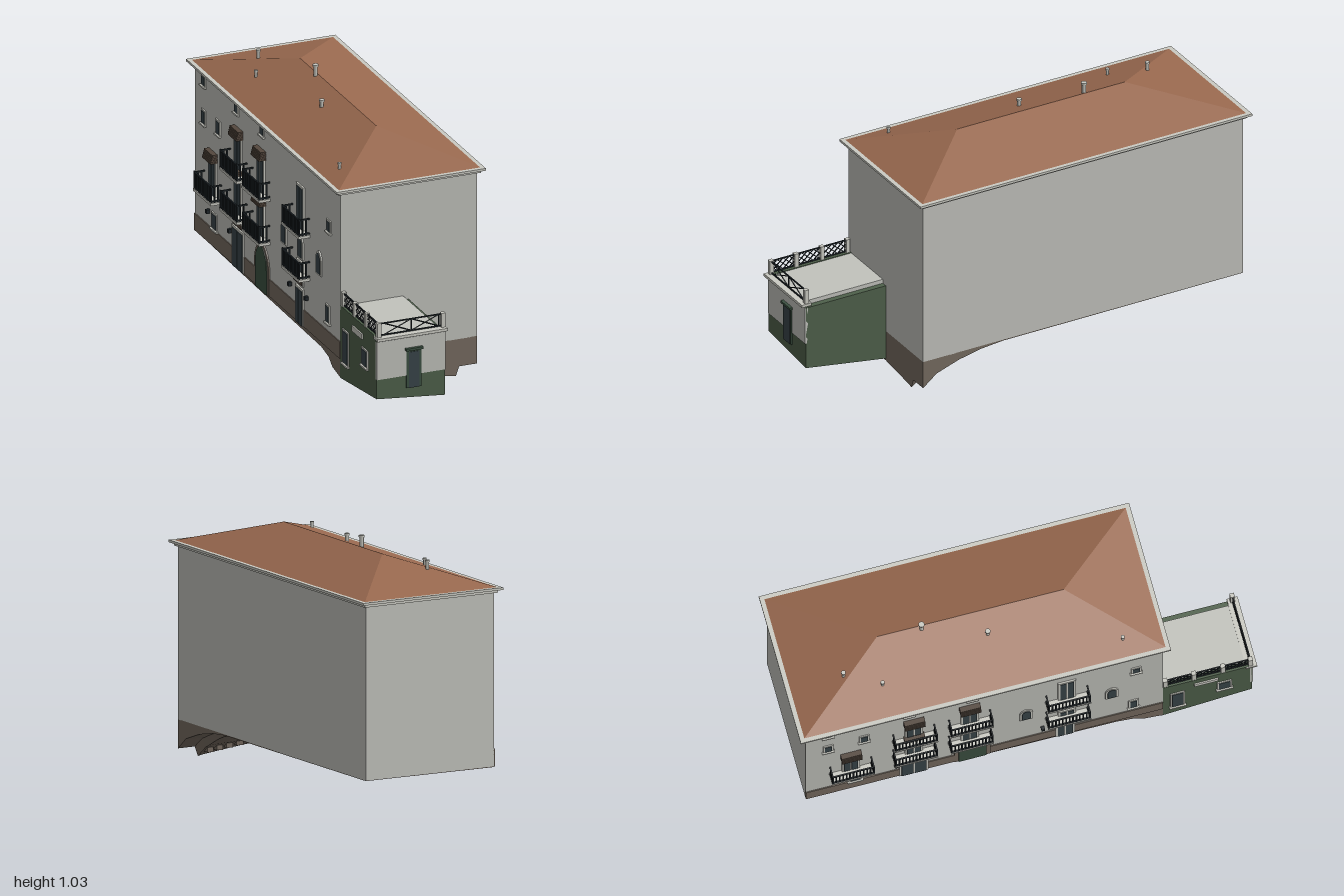
import * as THREE from 'three';

const mat = (name, color, side = THREE.FrontSide) => {
  const m = new THREE.MeshStandardMaterial({ color, side });
  m.name = name;
  return m;
};
const M = {
  wall: mat('pale plaster', 0xc2c3bd),
  roof: mat('terracotta', 0x99694f),
  base: mat('brown plinth', 0x776c61),
  green: mat('green plaster', 0x4f614b),
  trim: mat('stone trim', 0xcbcbc3),
  iron: mat('dark iron', 0x1f262a),
  glass: mat('dark glass', 0x39454a),
  blind: mat('brown blind', 0x54473d),
  door: mat('green door', 0x3c5142),
};

// Half width and half length of the house in its own turned frame
const W = 0.2975, L = 0.74;

export function createModel() {
  const model = new THREE.Group();
  const house = new THREE.Group();
  house.name = 'house';
  house.rotation.y = 0.272;
  house.position.z = -0.172;
  model.add(house);

  const add = (name, geo, m, parent = house) => {
    const mesh = new THREE.Mesh(geo, m);
    mesh.name = name;
    parent.add(mesh);
    return mesh;
  };
  // Box given by its lower and upper limits
  const box = (name, m, x0, x1, y0, y1, z0, z1, parent) => {
    const b = add(name, new THREE.BoxGeometry(x1 - x0, y1 - y0, z1 - z0), m, parent);
    b.position.set((x0 + x1) / 2, (y0 + y1) / 2, (z0 + z1) / 2);
    return b;
  };
  // Thin square bar between two points
  const bar = (a, b, t, m, parent) => {
    const p = new THREE.Vector3(...a), q = new THREE.Vector3(...b);
    const mesh = add('bar', new THREE.BoxGeometry(t, t, p.distanceTo(q)), m, parent);
    mesh.position.copy(p).add(q).multiplyScalar(0.5);
    mesh.quaternion.setFromUnitVectors(new THREE.Vector3(0, 0, 1), q.sub(p).normalize());
  };
  // Flat-faced geometry from polygons
  const faces = (polys) => {
    const v = [];
    for (const p of polys) for (let i = 1; i < p.length - 1; i++) v.push(...p[0], ...p[i], ...p[i + 1]);
    const g = new THREE.BufferGeometry();
    g.setAttribute('position', new THREE.Float32BufferAttribute(v, 3));
    g.computeVertexNormals();
    return g;
  };

  // Main walls and cornice
  box('walls', M.wall, -W, W, 0.158, 0.88, -L, L);
  box('lowerCornice', M.trim, -W - 0.012, W + 0.012, 0.867, 0.879, -L - 0.012, L + 0.012);
  box('upperCornice', M.trim, -W - 0.027, W + 0.027, 0.879, 0.889, -L - 0.027, L + 0.027);

  // Hipped roof
  const rx = 0.31, rz = 0.752, ry = 0.888;
  const A = [-rx, ry, -rz], B = [rx, ry, -rz], C = [rx, ry, rz], D = [-rx, ry, rz];
  const R0 = [0, 0.991, -0.365], R1 = [0, 0.991, 0.41];
  add('roof', faces([[D, C, R1], [C, B, R0, R1], [B, A, R0], [A, D, R1, R0]]), M.roof);

  // Plinth that follows the sloping ground
  const interp = (pts, t) => {
    for (let i = 1; i < pts.length; i++) if (t <= pts[i][0]) {
      const [a, ya] = pts[i - 1], [b, yb] = pts[i];
      return ya + (yb - ya) * (t - a) / (b - a);
    }
    return pts[pts.length - 1][1];
  };
  const leftEdge = [[-L, 0.155], [-0.05, 0.143], [0.547, 0.135], [0.62, 0.12], [0.66, 0.09], [L, 0.075]];
  const rightEdge = [[-L, 0.157], [0.37, 0.155], [0.47, 0.146], [0.573, 0.125], [0.677, 0.09], [L, 0.04]];
  const frontEdge = [[-W, 0.075], [-0.1, 0.032], [0, 0.025], [0.17, 0.006], [0.205, 0], [0.22, 0.04], [W, 0.04]];
  const bottom = (x, z) => {
    const t = (x + W) / (2 * W), k = THREE.MathUtils.smoothstep(z, 0.35, L);
    const side = interp(leftEdge, z) * (1 - t) + interp(rightEdge, z) * t;
    return side * (1 - k) + (interp(frontEdge, x) + (side - 0.075 * (1 - t) - 0.04 * t)) * k;
  };
  const xs = frontEdge.map((p) => p[0]);
  const zs = [-L, -0.05, 0.37, 0.47, 0.547, 0.573, 0.62, 0.66, 0.677, L];
  const low = (x, z) => [x, bottom(x, z), z], high = (x, z) => [x, 0.159, z];
  const skirt = [];
  for (let i = 1; i < zs.length; i++) {
    const a = zs[i - 1], b = zs[i];
    skirt.push([low(-W, a), low(-W, b), high(-W, b), high(-W, a)]);
    skirt.push([low(W, b), low(W, a), high(W, a), high(W, b)]);
    for (let j = 1; j < xs.length; j++) {
      const p = xs[j - 1], q = xs[j];
      skirt.push([low(p, a), low(q, a), low(q, b), low(p, b)]);
    }
  }
  for (let j = 1; j < xs.length; j++) {
    const p = xs[j - 1], q = xs[j];
    skirt.push([low(p, L), low(q, L), high(q, L), high(p, L)]);
    skirt.push([low(q, -L), low(p, -L), high(p, -L), high(q, -L)]);
  }
  add('plinth', faces(skirt), M.base);
  box('facadePlinth', M.base, -W - 0.004, -W + 0.01, 0.157, 0.23, -L, L);

  // Curved row of foundation stones under the front
  for (let i = 0; i < 11; i++) {
    const t = i / 10, x = 0.18 - 0.44 * t, z = 0.7 - 0.15 * t * t;
    const s = add('foundationStone', new THREE.BoxGeometry(0.028, 0.02, 0.035), M.base);
    s.position.set(x, Math.max(0.011, bottom(x, z)), z);
    s.rotation.y = -0.6 * t;
  }

  // Position along the facade from its projected x
  const along = (x) => (x + 0.2865) / 0.268;
  // Plate on the facade: centre, length, heights, depth
  const plate = (name, m, z, len, y0, y1, d, parent) =>
    box(name, m, -W - d, -W + 0.002, y0, y1, z - len / 2, z + len / 2, parent);

  const windowAt = (x, y0, y1, len = 0.042) => {
    const z = along(x), g = new THREE.Group();
    g.name = 'window';
    house.add(g);
    plate('frame', M.trim, z, len, y0, y1, 0.005, g);
    plate('pane', M.glass, z, len - 0.014, y0 + 0.007, y1 - 0.007, 0.007, g);
    plate('sill', M.trim, z, len + 0.01, y0 - 0.004, y0 + 0.003, 0.012, g);
  };
  [[-0.46, 0.812, 0.86], [-0.37, 0.82, 0.867], [-0.3, 0.822, 0.87], [-0.46, 0.647, 0.711],
    [-0.42, 0.657, 0.722], [-0.118, 0.66, 0.714], [-0.43, 0.232, 0.305, 0.055], [-0.121, 0.264, 0.344],
    [-0.072, 0.152, 0.3, 0.06], [-0.02, 0.217, 0.295, 0.06]].forEach((w) => windowAt(...w));

  const doorAt = (x, y0, y1, len = 0.075, m = M.glass) => {
    const z = along(x), g = new THREE.Group();
    g.name = 'door';
    house.add(g);
    plate('frame', M.trim, z, len, y0, y1, 0.007, g);
    for (const s of [-1, 1]) plate('leaf', m, z + s * (len / 4 - 0.003), len / 2 - 0.012, y0, y1 - 0.01, 0.009, g);
  };
  doorAt(-0.365, 0.156, 0.33, 0.12);
  doorAt(-0.197, 0.156, 0.315, 0.08);

  // Arched openings
  const arch = (name, m, x, len, y0, y1, d) => {
    const r = len / 2, s = new THREE.Shape();
    s.moveTo(-r, y0);
    s.lineTo(r, y0);
    s.lineTo(r, y1 - len * 0.8);
    s.quadraticCurveTo(r, y1 - r * 0.4, 0, y1);
    s.quadraticCurveTo(-r, y1 - r * 0.4, -r, y1 - len * 0.8);
    const a = add(name, new THREE.ExtrudeGeometry(s, { depth: d, bevelEnabled: false, curveSegments: 6 }), m);
    a.rotation.y = -Math.PI / 2;
    a.position.set(-W, 0, along(x));
  };
  arch('archSurround', M.base, -0.3, 0.15, 0.156, 0.367, 0.006);
  arch('archDoor', M.door, -0.3, 0.115, 0.156, 0.352, 0.009);
  for (const x of [-0.24, -0.195, -0.145]) {
    arch('lancetFrame', M.trim, x, 0.055, 0.44, 0.545, 0.006);
    arch('lancetPane', M.glass, x, 0.036, 0.447, 0.535, 0.008);
  }

  // Balconies with doors, iron railings and rolled blinds
  const balcony = (x, y, doorTop, blind) => {
    const z = along(x), h = 0.085, d = 0.045, X = -W - d, top = y + 0.07;
    doorAt(x, y, doorTop);
    const g = new THREE.Group();
    g.name = 'balcony';
    house.add(g);
    box('balconySlab', M.trim, X - 0.004, -W, y - 0.011, y, z - h - 0.004, z + h + 0.004, g);
    plate('bracket', M.trim, z, 0.1, y - 0.02, y - 0.011, 0.025, g);
    for (const yy of [y + 0.007, top]) {
      bar([X, yy, z - h], [X, yy, z + h], 0.006, M.iron, g);
      for (const s of [-h, h]) bar([X, yy, z + s], [-W, yy, z + s], 0.006, M.iron, g);
    }
    for (let i = 0; i <= 12; i++) {
      const zz = z - h + (2 * h * i) / 12;
      bar([X, y, zz], [X, top + (i % 12 ? 0 : 0.006), zz], 0.0055, M.iron, g);
    }
    for (const s of [-h, h]) for (const p of [0.015, 0.03]) bar([X + p, y, z + s], [X + p, top, z + s], 0.0055, M.iron, g);
    if (blind) for (let i = 0; i < 5; i++)
      plate('blindSlat', M.blind, z, 0.085, blind + i * 0.0078, blind + i * 0.0078 + 0.0068, 0.03 - i * 0.002, g);
  };
  [[-0.365, 0.573, 0.74, 0.726], [-0.303, 0.578, 0.74, 0.726], [-0.195, 0.573, 0.758, 0],
    [-0.435, 0.38, 0.54, 0.528], [-0.365, 0.396, 0.565, 0.553], [-0.303, 0.39, 0.54, 0.528],
    [-0.195, 0.386, 0.43, 0]].forEach((b) => balcony(...b));

  // Signs and wall lamps
  for (const [x, y] of [[-0.365, 0.336], [-0.2, 0.326], [-0.04, 0.326]]) {
    plate('signFrame', M.trim, along(x), 0.1, y, y + 0.024, 0.006);
    if (x < -0.1) plate('signPanel', M.blind, along(x), 0.085, y + 0.004, y + 0.02, 0.009);
  }
  for (const x of [-0.445, -0.385, -0.222, -0.177]) plate('wallLamp', M.iron, along(x), 0.014, 0.285, 0.302, 0.016);

  // Annex with a sloping underside
  const zf = 1.11, zb = L - 0.005, top = 0.366;
  const p = [[-W, 0.12, zf], [0, 0.092, zf], [0, 0.033, zb], [-W, 0.073, zb]];
  const q = p.map(([x, , z]) => [x, top, z]);
  const annexFaces = p.map((_, i) => [p[i], p[(i + 1) % 4], q[(i + 1) % 4], q[i]]);
  add('annexWalls', faces([...annexFaces, q, [...p].reverse()]), M.green);
  box('annexLeftParapet', M.green, -W, -W + 0.022, top, 0.387, L, zf - 0.01);
  box('annexFrontPlaster', M.wall, -W, 0, 0.203, top, zf - 0.01, zf + 0.003);
  box('terraceFloor', M.wall, -W + 0.02, -0.024, top, 0.384, L, zf);
  box('terraceEdge', M.trim, -W - 0.004, 0.004, 0.374, 0.386, zf - 0.025, zf + 0.02);

  // Annex front door
  box('annexDoorFrame', M.door, -0.17, -0.105, 0.15, 0.315, zf, zf + 0.007);
  box('annexDoorPane', M.glass, -0.16, -0.115, 0.15, 0.305, zf, zf + 0.0095);
  box('annexDoorLintel', M.door, -0.175, -0.1, 0.312, 0.322, zf, zf + 0.016);

  // Terrace railing: crossed panels in front, lattice on the left
  const rail = new THREE.Group();
  rail.name = 'terraceRailing';
  house.add(rail);
  const y0 = 0.392, y1 = 0.442, xl = -W + 0.01, zr = zf - 0.005;
  for (const y of [y0, y1]) {
    bar([xl, y, zr], [0, y, zr], 0.005, M.iron, rail);
    bar([xl, y, L], [xl, y, zr], 0.005, M.iron, rail);
  }
  for (const [a, b] of [[-0.265, -0.145], [-0.145, -0.025]]) {
    bar([a, y0, zr], [b, y1, zr], 0.004, M.iron, rail);
    bar([a, y1, zr], [b, y0, zr], 0.004, M.iron, rail);
    bar([b, y0, zr], [b, y1, zr], 0.005, M.iron, rail);
  }
  const n = 13, step = (zr - L) / n;
  for (let i = 0; i < n; i++) {
    const a = L + i * step, b = a + step, mid = (y0 + y1) / 2;
    for (const [s, e] of [[y0, mid], [mid, y1]]) {
      bar([xl, s, a], [xl, e, b], 0.0035, M.iron, rail);
      bar([xl, e, a], [xl, s, b], 0.0035, M.iron, rail);
    }
  }
  for (const [x, z] of [[xl, L + 0.012], [xl, 0.87], [xl, 0.99], [xl, zr], [-0.008, zr]])
    box('railingPost', M.trim, x - 0.009, x + 0.009, 0.38, 0.447, z - 0.009, z + 0.009, rail);

  // Chimney pipes: x, z, bottom, top, radius
  for (const [x, z, b, t, r] of [[-0.11, -0.533, 0.91, 0.976, 0.007], [-0.182, -0.39, 0.9, 0.952, 0.006],
    [-0.011, -0.183, 0.95, 1.027, 0.009], [-0.092, 0.07, 0.93, 0.984, 0.008], [-0.237, 0.59, 0.89, 0.93, 0.006]]) {
    add('chimney', new THREE.CylinderGeometry(r, r, t - b, 10), M.trim).position.set(x, (t + b) / 2, z);
    add('chimneyCap', new THREE.CylinderGeometry(r * 1.35, r * 1.35, 0.008, 10), M.trim).position.set(x, t + 0.004, z);
  }
  return model;
}
